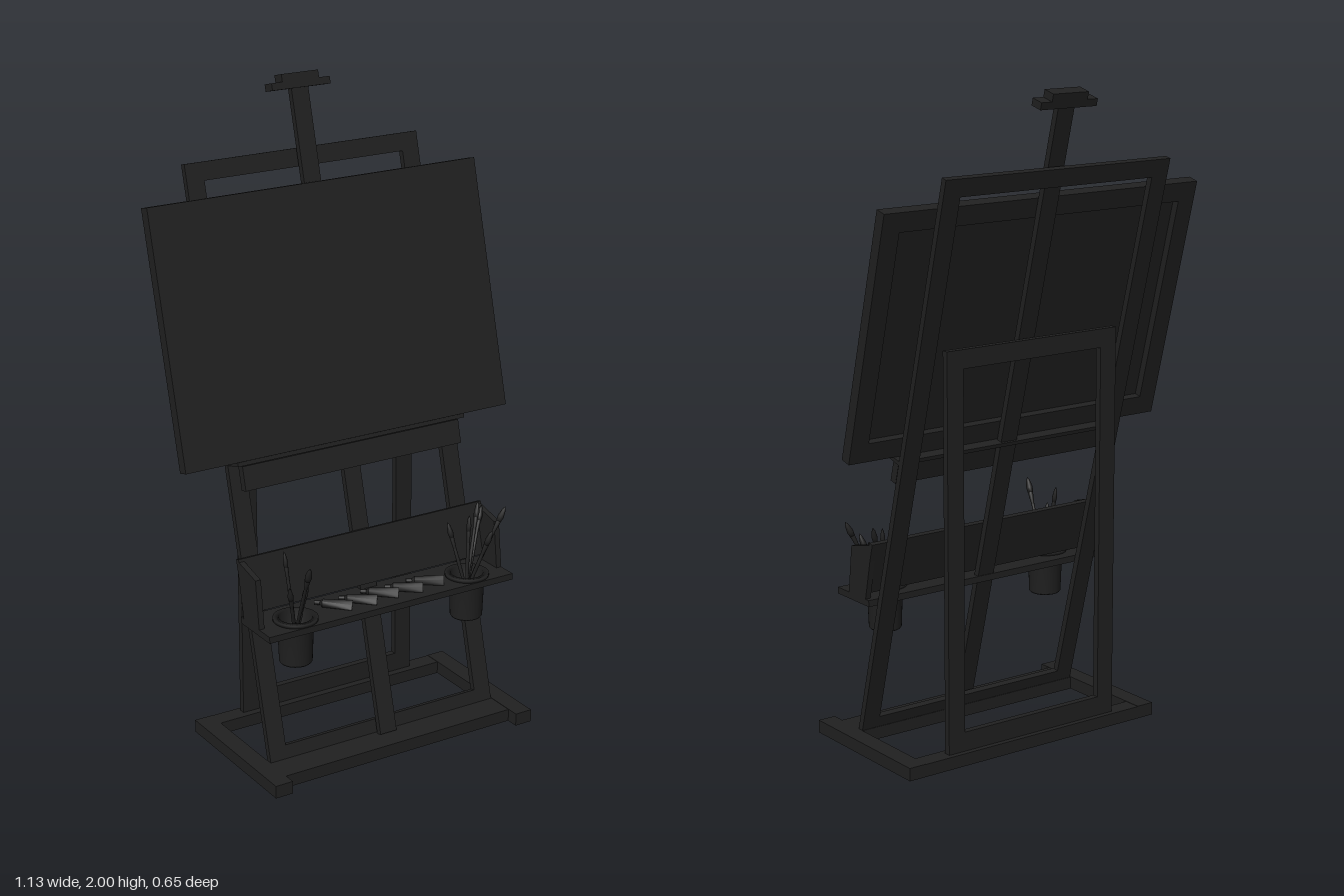
import * as THREE from 'three';

const mat = new THREE.MeshStandardMaterial({ color: 0x202020 });
const thinMat = new THREE.MeshStandardMaterial({ color: 0x202020, side: THREE.DoubleSide });
const CX = 0.009; // the stand sits slightly off the canvas centre
const LEAN = -0.258;

function add(parent, name, geo, material = mat) {
  const mesh = new THREE.Mesh(geo, material);
  mesh.name = name;
  parent.add(mesh);
  return mesh;
}

// Box given by its min/max on each axis
function box(parent, name, x0, x1, y0, y1, z0, z1) {
  const mesh = add(parent, name, new THREE.BoxGeometry(x1 - x0, y1 - y0, z1 - z0));
  mesh.position.set((x0 + x1) / 2, (y0 + y1) / 2, (z0 + z1) / 2);
  return mesh;
}

function group(parent, name) {
  const g = new THREE.Group();
  g.name = name;
  parent.add(g);
  return g;
}

const lathe = (pts, seg) => new THREE.LatheGeometry(pts.map(p => new THREE.Vector2(...p)), seg);
const UP = new THREE.Vector3(0, 1, 0);

// Place an upright object so it runs from a towards b
function aim(obj, a, b) {
  obj.position.copy(a);
  obj.quaternion.setFromUnitVectors(UP, b.clone().sub(a).normalize());
}

// Brush with tapered handle, ferrule and pointed bristles
function brush(parent, from, to, fat) {
  const a = new THREE.Vector3(...from), b = new THREE.Vector3(...to);
  const L = a.distanceTo(b), r = fat;
  const g = group(parent, 'brush');
  add(g, 'brushHandle', lathe([[0, 0], [0.003, 0], [0.006, L * 0.55], [0.005, L - 0.085], [0, L - 0.085]], 10));
  add(g, 'brushFerrule', lathe([[0.005, L - 0.09], [r * 0.8, L - 0.05], [0, L - 0.05]], 10));
  add(g, 'brushBristles', lathe([[0, L - 0.052], [r * 0.8, L - 0.05], [r, L - 0.035], [r * 0.6, L - 0.012], [0, L]], 10));
  aim(g, a, b);
}

// Paint tube: cap, round shoulder, body flattened to a crimp
function paintTube(parent, x, z, angle) {
  const g = group(parent, 'paintTube');
  const geo = new THREE.CylinderGeometry(0.013, 0.013, 0.09, 14, 4);
  const p = geo.attributes.position;
  for (let i = 0; i < p.count; i++) {
    const t = 0.5 - p.getY(i) / 0.09; // 0 at shoulder, 1 at crimp
    p.setX(i, p.getX(i) * (1 + 0.3 * t));
    p.setZ(i, p.getZ(i) * (1 - 0.85 * t));
  }
  geo.computeVertexNormals();
  add(g, 'tubeBody', geo);
  add(g, 'tubeShoulder', new THREE.CylinderGeometry(0.006, 0.013, 0.008, 14)).position.y = 0.049;
  add(g, 'tubeCap', new THREE.CylinderGeometry(0.006, 0.007, 0.018, 10)).position.y = 0.062;
  g.position.set(x, 0.496, z);
  aim(g, g.position.clone(), g.position.clone().add(new THREE.Vector3(-Math.cos(angle), 0, -Math.sin(angle))));
}

export function createModel() {
  const root = new THREE.Group();
  root.name = 'studioEasel';

  const stand = group(root, 'stand');
  stand.position.x = CX;

  // Base: two feet joined by front and rear bars
  for (const s of [-1, 1]) {
    const foot = box(stand, 'baseFoot', -0.029, 0.029, 0, 0.04, -0.175, 0.32);
    foot.position.x = s * 0.433;
  }
  box(stand, 'baseFrontBar', -0.404, 0.404, 0, 0.039, 0.165, 0.28);
  box(stand, 'baseRearBar', -0.404, 0.404, 0, 0.039, -0.175, -0.117);

  // Upright rear support frame
  for (const s of [-1, 1]) {
    box(stand, 'rearPost', -0.029, 0.029, 0.04, 1.26, -0.16, -0.139).position.x = s * 0.281;
  }
  box(stand, 'rearTopRail', -0.252, 0.252, 1.203, 1.26, -0.16, -0.139);
  box(stand, 'rearBottomRail', -0.252, 0.252, 0.04, 0.1, -0.16, -0.139);

  // Everything on the leaning plane: y runs up the mast, z out of it
  const lean = group(stand, 'leaningFrame');
  lean.position.set(0, 0.04, 0.205);
  lean.rotation.x = LEAN;
  for (const s of [-1, 1]) {
    box(lean, 'frameLeg', -0.029, 0.029, 0, 1.8, -0.037, -0.017).position.x = s * 0.373;
  }
  box(lean, 'frameTopRail', -0.344, 0.344, 1.745, 1.8, -0.037, -0.017);
  box(lean, 'frameBottomRail', -0.344, 0.344, 0, 0.045, -0.037, -0.017);
  box(lean, 'mast', -0.029, 0.029, 0, 1.998, -0.01, 0.01);

  // Top clamp
  box(lean, 'clampPlate', -0.1, 0.1, 1.975, 1.997, -0.02, 0.022);
  box(lean, 'clampCap', -0.063, 0.063, 1.997, 2.02, -0.02, 0.022);

  // Canvas ledge
  box(lean, 'ledgeBoard', -0.382, 0.382, 0.833, 0.907, 0.01, 0.036);
  box(lean, 'ledgeShelf', -0.4, 0.4, 0.91, 0.922, -0.017, 0.045);

  // Canvas with stretcher bars behind
  const canvas = group(lean, 'canvas');
  canvas.position.x = -CX;
  const W = 0.565, B = 0.923, T = 1.695, S = 0.06;
  box(canvas, 'canvasFace', -W, W, B, T, 0.036, 0.05);
  for (const s of [-1, 1]) {
    box(canvas, 'stretcherSide', -S / 2, S / 2, B, T, 0.013, 0.036).position.x = s * (W - S / 2);
  }
  box(canvas, 'stretcherBottom', -W + S, W - S, B, B + S, 0.013, 0.036);
  box(canvas, 'stretcherTop', -W + S, W - S, T - S, T, 0.013, 0.036);

  // Tool tray: back board, floor with cup holes, side plates
  box(lean, 'trayBackBoard', -0.433, 0.433, 0.472, 0.638, 0.01, 0.025);

  const tray = group(root, 'tray');
  const cups = [[-0.297, 0.177], [0.316, 0.177]];
  const floor = new THREE.Shape();
  floor.moveTo(-0.424, -0.075).lineTo(-0.424, -0.244).lineTo(0.442, -0.244).lineTo(0.442, -0.075).closePath();
  for (const [x, z] of cups) {
    floor.holes.push(new THREE.Path().absarc(x, -z, 0.057, 0, Math.PI * 2, true));
  }
  const floorGeo = new THREE.ExtrudeGeometry(floor, { depth: 0.02, bevelEnabled: false, curveSegments: 24 });
  add(tray, 'trayFloor', floorGeo.rotateX(-Math.PI / 2)).position.y = 0.463;

  // Side plate outline in (-z, y)
  const side = new THREE.Shape([[-0.055, 0.658], [-0.165, 0.632], [-0.183, 0.483], [-0.092, 0.483]]
    .map(p => new THREE.Vector2(...p)));
  for (const x of [-0.424, 0.424]) {
    const geo = new THREE.ExtrudeGeometry(side, { depth: 0.018, bevelEnabled: false });
    add(tray, 'traySide', geo.rotateY(Math.PI / 2)).position.x = x;
  }

  // Cups hanging in the tray floor
  for (const [x, z] of cups) {
    const cup = add(tray, 'brushCup', lathe([[0, 0.348], [0.046, 0.348], [0.05, 0.353], [0.055, 0.484],
      [0.068, 0.484], [0.068, 0.493], [0.05, 0.493], [0.046, 0.36], [0, 0.36]], 32), thinMat);
    cup.position.set(x, 0, z);
  }

  // Paint tubes lying in a row
  for (let i = 0; i < 5; i++) paintTube(tray, -0.15 + i * 0.082, 0.175 + (i % 2) * 0.008, 0.75 - i * 0.05);

  // Brushes: tip offsets from each cup centre, with tip height and bristle radius
  const tips = [
    [[-0.02, 0.12, 0.695, 0.011], [-0.02, -0.03, 0.695, 0.008], [-0.055, 0.06, 0.62, 0.009], [0.03, 0.02, 0.6, 0.009]],
    [[0.12, 0.03, 0.695, 0.01], [0.115, -0.09, 0.66, 0.009], [0.08, -0.06, 0.69, 0.009], [-0.04, -0.05, 0.65, 0.009],
      [0.05, 0.06, 0.64, 0.01], [0.02, -0.02, 0.67, 0.008]],
  ];
  tips.forEach((list, c) => {
    const [x, z] = cups[c];
    for (const [dx, dz, y, r] of list) {
      brush(tray, [x - dx * 0.3, 0.365, z - dz * 0.3], [x + dx, y, z + dz], r);
    }
  });

  return root;
}
